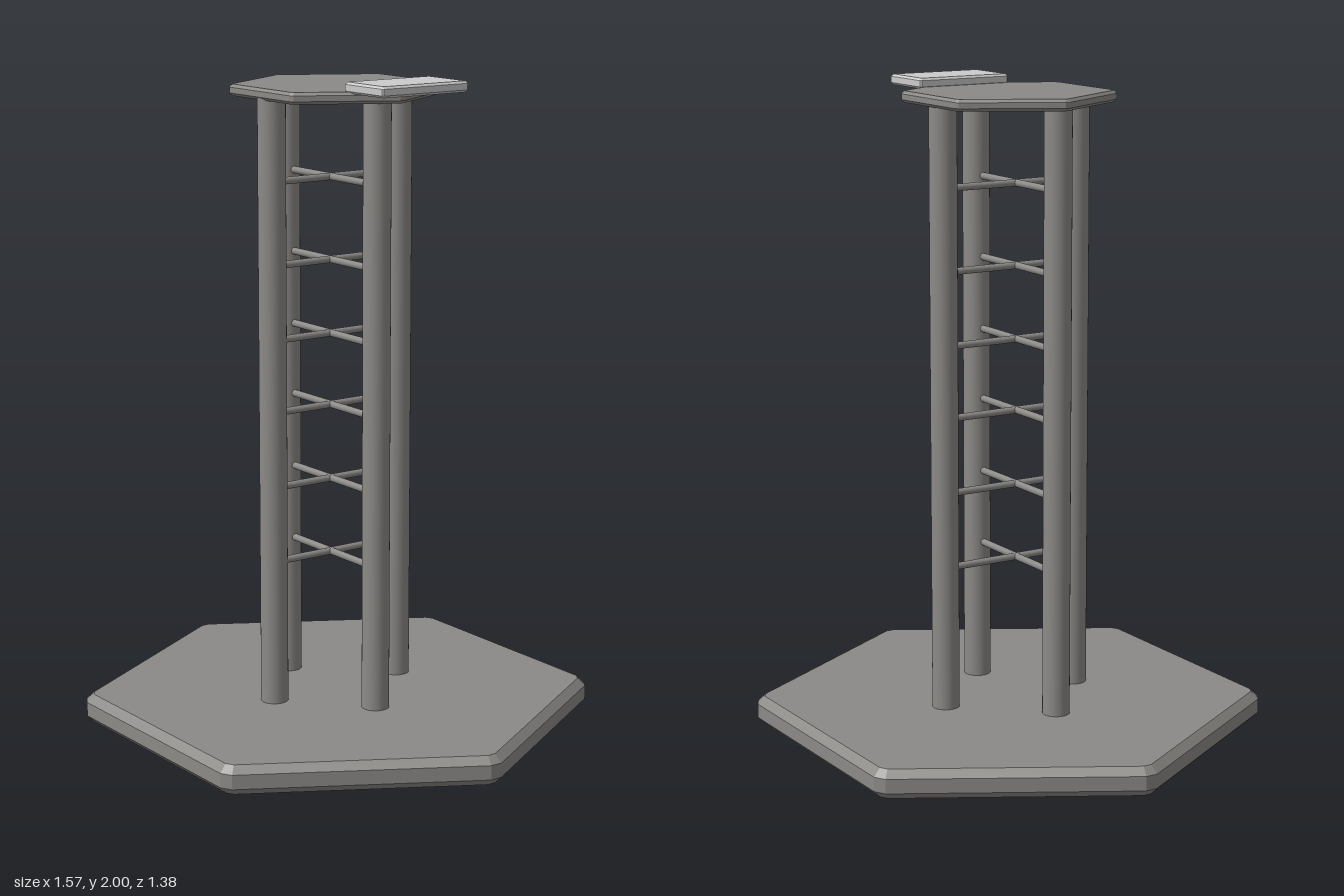
import * as THREE from 'three';

const dark = new THREE.MeshStandardMaterial({ color: 0x8c8a87 });
const light = new THREE.MeshStandardMaterial({ color: 0xcccccc });

function addMesh(parent, name, geometry, material, x = 0, y = 0, z = 0) {
  const mesh = new THREE.Mesh(geometry, material);
  mesh.name = name;
  mesh.position.set(x, y, z);
  parent.add(mesh);
  return mesh;
}

// Flat plate lying on y = 0: an outline with clipped corners and chamfered rims
function plate(corners, clip, height, bevel) {
  const points = [];
  corners.forEach((c, i) => {
    const prev = corners[(i + corners.length - 1) % corners.length];
    const next = corners[(i + 1) % corners.length];
    for (const other of [prev, next]) {
      points.push(c.clone().add(other.clone().sub(c).setLength(clip)));
    }
  });
  const geometry = new THREE.ExtrudeGeometry(new THREE.Shape(points), {
    depth: height - 2 * bevel,
    bevelEnabled: true,
    bevelSegments: 1,
    bevelThickness: bevel,
    bevelSize: bevel,
    bevelOffset: -bevel,
  });
  return geometry.rotateX(-Math.PI / 2).translate(0, bevel, 0);
}

function hexagon(radius) {
  return Array.from({ length: 6 }, (_, i) => {
    const a = (i * Math.PI) / 3;
    return new THREE.Vector2(radius * Math.cos(a), radius * Math.sin(a));
  });
}

function rectangle(w, d) {
  return [[-1, -1], [1, -1], [1, 1], [-1, 1]].map(
    ([x, y]) => new THREE.Vector2((x * w) / 2, (y * d) / 2));
}

export function createModel() {
  const model = new THREE.Group();
  model.name = 'tower';

  // Hexagonal foot and top
  addMesh(model, 'base', plate(hexagon(0.795), 0.022, 0.09, 0.023), dark);
  addMesh(model, 'topPlatform', plate(hexagon(0.325), 0.008, 0.035, 0.009), dark, -0.004, 1.938, 0);

  // Small slab overhanging the top
  addMesh(model, 'ledge', plate(rectangle(0.186, 0.31), 0.004, 0.033, 0.007), light, 0.304, 1.967, -0.025);

  // Four posts in a diamond
  const posts = new THREE.Group();
  posts.name = 'posts';
  model.add(posts);
  const postGeometry = new THREE.CylinderGeometry(0.042, 0.042, 1.89, 32);
  for (const [x, z] of [[-0.235, 0.025], [0.23, 0.025], [-0.003, 0.238], [-0.003, -0.229]]) {
    addMesh(posts, 'post', postGeometry, dark, x, 1.005, z);
  }

  // Crossed rungs joining opposite posts
  const rungs = new THREE.Group();
  rungs.name = 'rungs';
  model.add(rungs);
  const rungX = new THREE.CylinderGeometry(0.011, 0.011, 0.46, 16).rotateZ(Math.PI / 2);
  const rungZ = new THREE.CylinderGeometry(0.011, 0.011, 0.46, 16).rotateX(Math.PI / 2);
  for (const y of [0.531, 0.764, 0.996, 1.218, 1.444, 1.695]) {
    addMesh(rungs, 'sideRung', rungX, dark, -0.003, y, 0.025);
    addMesh(rungs, 'depthRung', rungZ, dark, -0.003, y, 0.005);
  }

  return model;
}
